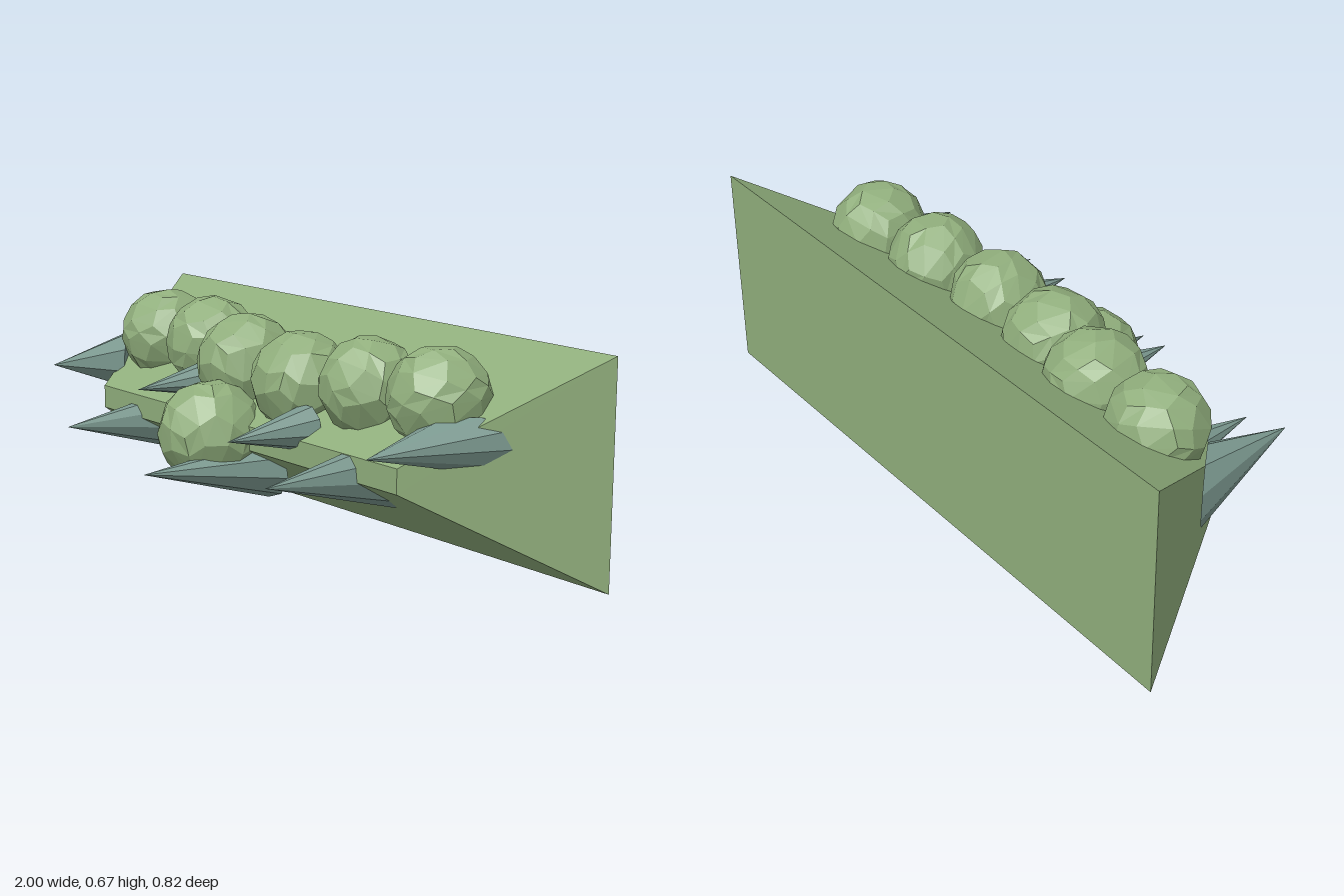
import * as THREE from 'three';

const green = new THREE.MeshStandardMaterial({ name: 'mossGreen', color: 0x90ae7c, flatShading: true });
const teal = new THREE.MeshStandardMaterial({ name: 'greyTeal', color: 0x7b988f, flatShading: true });

// Box whose front face shrinks to a narrow ledge
function wedge() {
  const g = new THREE.BoxGeometry(1, 1, 1).toNonIndexed();
  const p = g.attributes.position;
  for (let i = 0; i < p.count; i++) {
    const front = p.getZ(i) > 0;
    p.setXYZ(i,
      p.getX(i) * (front ? 1.42 : 2),
      front ? 0.325 + p.getY(i) * 0.07 : 0.3225 + p.getY(i) * 0.645,
      front ? 0.09 : -0.41);
  }
  g.computeVertexNormals();
  return g;
}

// Skewed cone: the base disc is turned by `turn` about y, the tip is placed freely
function spike(base, tip, rx, ry, turn) {
  const g = new THREE.ConeGeometry(1, 1, 9).toNonIndexed();
  const p = g.attributes.position;
  for (let i = 0; i < p.count; i++) {
    if (p.getY(i) > 0) { p.setXYZ(i, ...tip); continue; }
    const u = p.getX(i) * rx, v = -p.getZ(i) * ry;
    p.setXYZ(i, base[0] + u * Math.cos(turn), base[1] + v, base[2] - u * Math.sin(turn));
  }
  g.computeVertexNormals();
  return g;
}

export function createModel() {
  const model = new THREE.Group();
  const add = (name, geometry, material) => {
    const mesh = new THREE.Mesh(geometry, material);
    mesh.name = name;
    model.add(mesh);
    return mesh;
  };

  add('wedgeBase', wedge(), green);

  // Row of faceted boulders, with one hanging over the ledge
  const boulders = [
    [-0.65, 0.515, -0.11, 0.145], [-0.395, 0.52, -0.11, 0.147], [-0.145, 0.5, -0.055, 0.15],
    [0.135, 0.49, -0.04, 0.146], [0.395, 0.51, -0.075, 0.143], [0.65, 0.515, -0.105, 0.145],
    [-0.08, 0.325, 0.125, 0.155],
  ];
  boulders.forEach(([x, y, z, r], i) => {
    const b = add('boulder' + (i + 1), new THREE.DodecahedronGeometry(r, 1), green);
    b.position.set(x, y, z);
    b.rotation.set(i * 1.3 + 0.4, i * 2.1, i * 0.7);
  });

  // Spikes pointing forward: base centre, tip, half width, half height, base turn
  const spikes = [
    [[-0.82, 0.41, -0.09], [-0.785, 0.43, 0.23], 0.135, 0.1, -0.8],
    [[0.775, 0.415, -0.085], [0.75, 0.41, 0.23], 0.14, 0.075, 0.84],
    [[-0.537, 0.263, -0.085], [-0.54, 0.285, 0.33], 0.083, 0.1, 0],
    [[0.5, 0.292, -0.085], [0.5, 0.305, 0.36], 0.082, 0.107, 0],
    [[0.017, 0.217, -0.015], [0, 0.252, 0.41], 0.093, 0.088, 0],
    [[-0.295, 0.435, -0.03], [-0.285, 0.43, 0.24], 0.065, 0.057, 0],
    [[0.255, 0.383, 0.03], [0.25, 0.376, 0.3], 0.066, 0.067, 0],
  ];
  spikes.forEach((s, i) => add('spike' + (i + 1), spike(...s), teal));

  return model;
}
